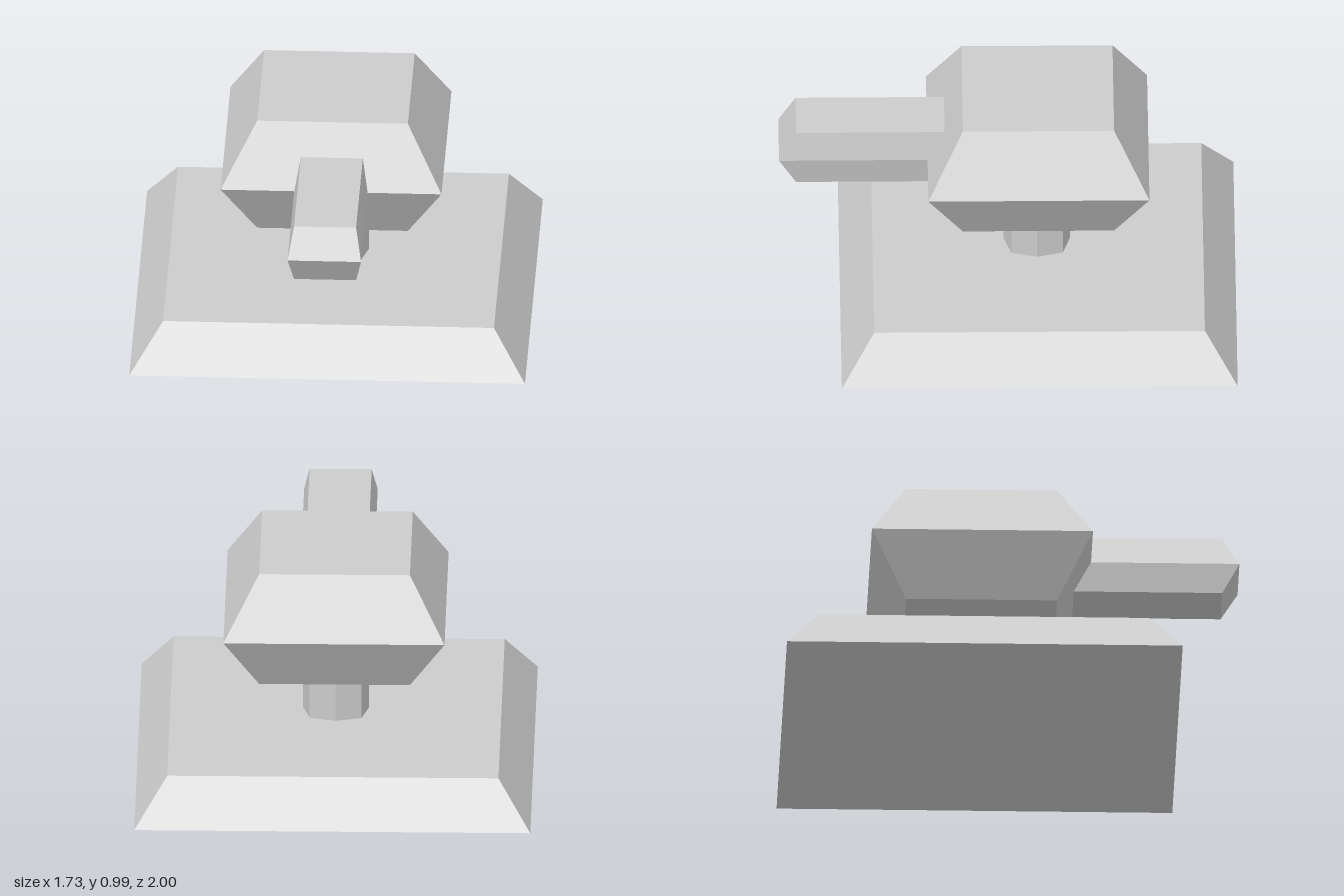
import * as THREE from 'three';

const material = new THREE.MeshStandardMaterial({ color: 0xcccccc, flatShading: true });

// Rectangular cross-section at height y, counter-clockwise seen from above
const rect = (y, halfX, zBack, zFront) => [
  [-halfX, y, zFront], [halfX, y, zFront], [halfX, y, zBack], [-halfX, y, zBack],
];

// Flat-faced solid through a stack of cross-sections, closed at both ends
function loft(name, rings) {
  const positions = [];
  const tri = (a, b, c) => positions.push(...a, ...b, ...c);
  const n = rings[0].length;
  for (let r = 0; r < rings.length - 1; r++) {
    const low = rings[r], high = rings[r + 1];
    for (let i = 0; i < n; i++) {
      const j = (i + 1) % n;
      tri(low[i], low[j], high[j]);
      tri(low[i], high[j], high[i]);
    }
  }
  const bottom = rings[0], top = rings[rings.length - 1];
  for (let i = 1; i < n - 1; i++) {
    tri(bottom[0], bottom[i + 1], bottom[i]);
    tri(top[0], top[i], top[i + 1]);
  }
  const geometry = new THREE.BufferGeometry();
  geometry.setAttribute('position', new THREE.Float32BufferAttribute(positions, 3));
  geometry.computeVertexNormals();
  const mesh = new THREE.Mesh(geometry, material);
  mesh.name = name;
  return mesh;
}

// Eight-sided post section: axis points at 0.145, corner points at 0.113 on each axis
function postRing(y) {
  const ring = [];
  for (let i = 0; i < 8; i++) {
    const radius = i % 2 ? 0.113 * Math.SQRT2 : 0.145;
    const angle = (i * Math.PI) / 4;
    ring.push([radius * Math.cos(angle), y, -0.13 - radius * Math.sin(angle)]);
  }
  return ring;
}

export function createModel() {
  const model = new THREE.Group();
  model.name = 'turret';

  // Sloped square plinth
  model.add(loft('base', [rect(0, 0.867, -1, 0.733), rect(0.198, 0.725, -0.858, 0.59)]));

  // Post, with its ends sunk into the base and head
  model.add(loft('post', [postRing(0.17), postRing(0.5)]));

  // Head, widest at mid height
  model.add(loft('head', [
    rect(0.462, 0.33, -0.465, 0.197),
    rect(0.727, 0.484, -0.618, 0.35),
    rect(0.992, 0.33, -0.465, 0.197),
  ]));

  // Barrel, bevelled the same way, rooted inside the head
  model.add(loft('barrel', [
    rect(0.597, 0.136, 0.14, 0.925),
    rect(0.727, 0.161, 0.07, 1),
    rect(0.857, 0.136, 0.14, 0.925),
  ]));

  return model;
}
